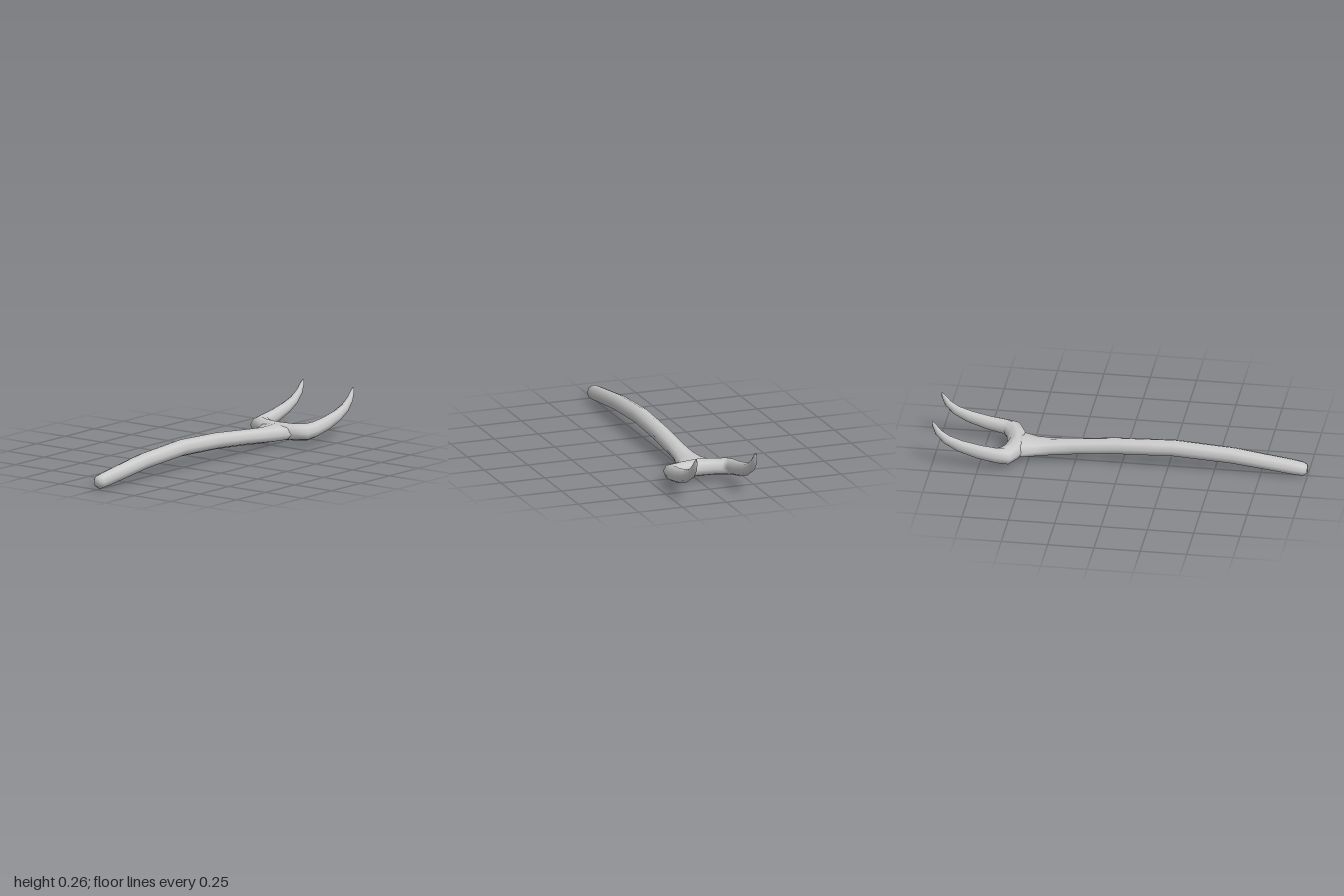
import * as THREE from 'three';

const SIDES = 8;

// Skins elliptical rings [x, y, z, halfWidth, halfHeight] along a path, closed at both ends.
function loft(rings, name, material) {
  const centres = rings.map(([x, y, z]) => new THREE.Vector3(x, y, z));
  const up = new THREE.Vector3(0, 1, 0);
  const last = rings.length - 1;
  const positions = [];
  const index = [];
  rings.forEach(([, , , w, h], i) => {
    const tangent = new THREE.Vector3();
    if (i > 0) tangent.add(centres[i].clone().sub(centres[i - 1]).normalize());
    if (i < last) tangent.add(centres[i + 1].clone().sub(centres[i]).normalize());
    tangent.normalize();
    const side = tangent.clone().cross(up).normalize();
    const normal = side.clone().cross(tangent);
    for (let j = 0; j < SIDES; j++) {
      const a = (j / SIDES) * Math.PI * 2;
      const p = centres[i].clone()
        .addScaledVector(side, Math.cos(a) * w)
        .addScaledVector(normal, Math.sin(a) * h);
      positions.push(p.x, p.y, p.z);
    }
  });
  const start = positions.length / 3;
  positions.push(...centres[0].toArray(), ...centres[last].toArray());
  for (let j = 0; j < SIDES; j++) {
    const k = (j + 1) % SIDES;
    for (let i = 0; i < last; i++) {
      const a = i * SIDES + j, b = i * SIDES + k;
      index.push(a, a + SIDES, b, b, a + SIDES, b + SIDES);
    }
    index.push(start, j, k, start + 1, last * SIDES + k, last * SIDES + j);
  }
  const geometry = new THREE.BufferGeometry();
  geometry.setAttribute('position', new THREE.Float32BufferAttribute(positions, 3));
  geometry.setIndex(index);
  geometry.computeVertexNormals();
  const mesh = new THREE.Mesh(geometry, material);
  mesh.name = name;
  return mesh;
}

export function createModel() {
  const group = new THREE.Group();
  group.name = 'fork';
  const material = new THREE.MeshStandardMaterial({ color: 0xcccccc });

  // Gently bowed handle, rounded at the grip and flaring into the yoke
  group.add(loft([
    [0, 0.044, 1.0, 0.022, 0.024],
    [0, 0.044, 0.98, 0.038, 0.039],
    [0, 0.051, 0.93, 0.042, 0.042],
    [0, 0.095, 0.6, 0.046, 0.045],
    [0, 0.115, 0.28, 0.048, 0.046],
    [0, 0.104, -0.02, 0.048, 0.045],
    [0, 0.085, -0.25, 0.05, 0.043],
    [0, 0.073, -0.38, 0.06, 0.043],
    [0, 0.068, -0.46, 0.08, 0.044],
    [0, 0.07, -0.53, 0.115, 0.045],
    [0, 0.073, -0.58, 0.125, 0.043],
  ], 'handle', material));

  // Yoke and both tines as one bent limb, mirrored about the middle
  const half = [
    [0.09, 0.074, -0.58, 0.055, 0.046],
    [0.154, 0.077, -0.612, 0.059, 0.046],
    [0.17, 0.084, -0.655, 0.037, 0.044],
    [0.172, 0.1, -0.75, 0.031, 0.041],
    [0.173, 0.128, -0.85, 0.026, 0.035],
    [0.172, 0.16, -0.92, 0.021, 0.028],
    [0.171, 0.2, -0.965, 0.016, 0.02],
    [0.17, 0.24, -0.988, 0.01, 0.012],
    [0.17, 0.26, -0.997, 0.003, 0.004],
  ];
  const mirrored = half.map(([x, ...rest]) => [-x, ...rest]).reverse();
  group.add(loft(
    [...mirrored, [0, 0.073, -0.565, 0.055, 0.048], ...half],
    'yokeAndTines', material));

  return group;
}
